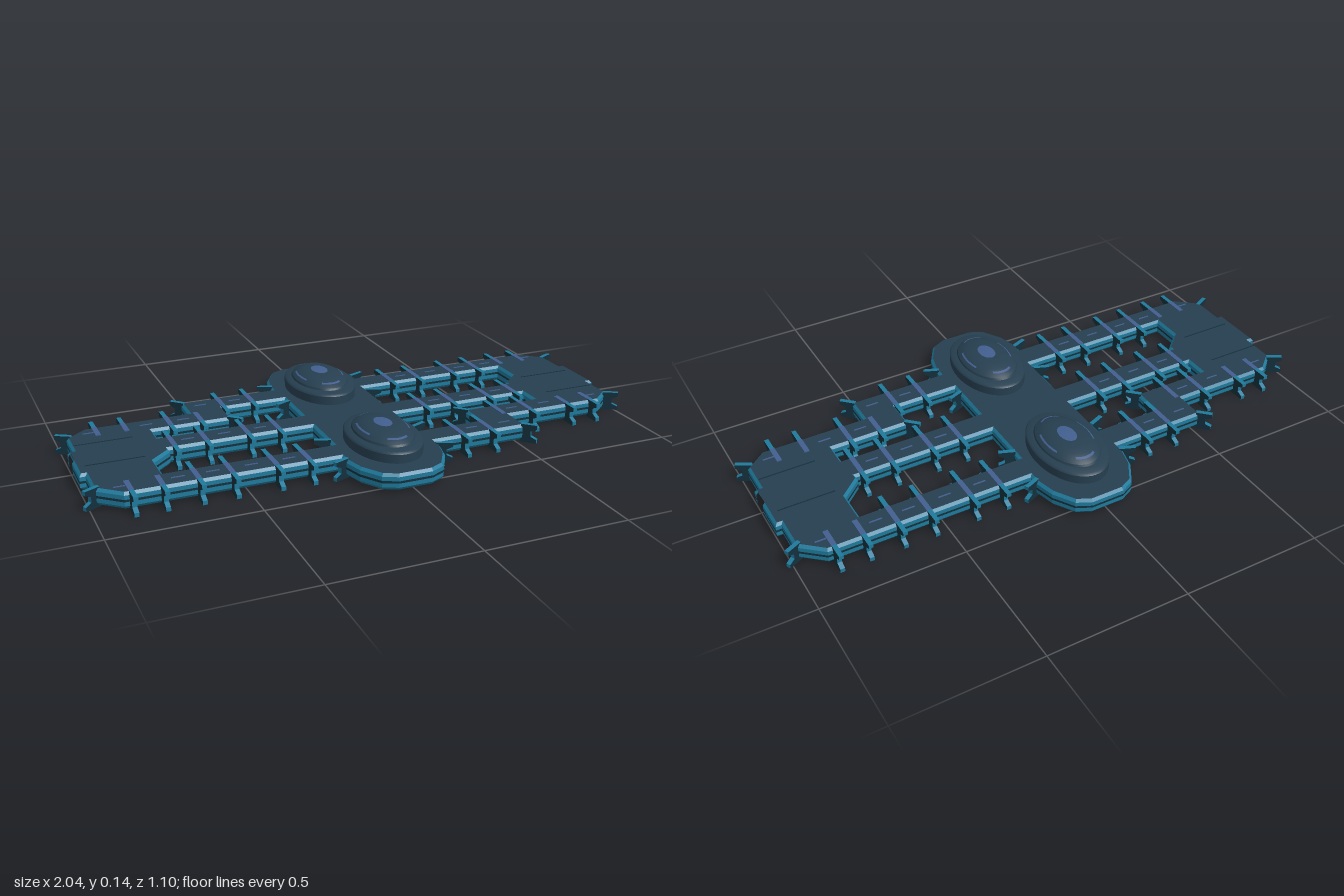
import * as THREE from 'three';

const mat = (name, color, extra = {}) => {
  const m = new THREE.MeshStandardMaterial({ color, ...extra });
  m.name = name;
  return m;
};

export function createModel() {
  const deckMat = mat('slate deck', 0x263f50);
  const hullMat = mat('teal hull', 0x1f7a9c);
  const darkMat = mat('dark recess', 0x14303d);
  const glassMat = mat('blue glass', 0x435f90);
  const domeMat = mat('slate dome', 0x263f50);

  const root = new THREE.Group();
  root.name = 'station';
  const add = (parent, name, geo, material, x = 0, y = 0, z = 0) => {
    const m = new THREE.Mesh(geo, material);
    m.name = name;
    m.position.set(x, y, z);
    parent.add(m);
    return m;
  };
  const turned = (pts) => pts.map(([x, z]) => [-x, -z]);

  // Footprint as [x, z]; the second half is the first turned half way round
  const half = [
    [0.06, -0.55], [0.11, -0.525], [0.155, -0.45], [0.172, -0.38], [0.172, -0.34],
    [0.9, -0.34], [0.98, -0.27], [0.98, -0.15], [1, -0.15], [1, -0.03], [1, 0.03], [1, 0.05],
    [0.98, 0.05], [0.98, 0.17], [0.91, 0.23], [0.53, 0.23], [0.53, 0.34], [0.172, 0.34],
    [0.172, 0.38], [0.155, 0.45], [0.11, 0.525], [0.06, 0.55],
  ];
  const outline = [...half, ...turned(half)];
  const wells = [
    [[0.16, -0.24], [0.75, -0.24], [0.75, -0.13], [0.68, -0.065], [0.68, -0.05], [0.16, -0.05]],
    [[0.16, 0.05], [0.69, 0.05], [0.69, 0.13], [0.4, 0.13], [0.4, 0.24], [0.16, 0.24]],
  ].map((p) => p.reverse());
  const holes = [...wells, ...wells.map(turned)];

  // Moves every edge of a closed loop inwards by d, with mitred corners
  const inset = (pts, d) => pts.map((p, i) => {
    const a = pts[(i + pts.length - 1) % pts.length], b = pts[(i + 1) % pts.length];
    const n1 = new THREE.Vector2(p[1] - a[1], a[0] - p[0]).normalize();
    const n2 = new THREE.Vector2(b[1] - p[1], p[0] - b[0]).normalize();
    const s = d / (1 + n1.dot(n2));
    return [p[0] - (n1.x + n2.x) * s, p[1] - (n1.y + n2.y) * s];
  });

  // Flat plates for the top and the underside
  const plate = (d, up) => {
    const toV = (pts) => inset(pts, d).map(([x, z]) => new THREE.Vector2(x, up ? -z : z));
    const shape = new THREE.Shape(toV(outline));
    shape.holes = holes.map((h) => new THREE.Path(toV(h)));
    return new THREE.ShapeGeometry(shape).rotateX(up ? -Math.PI / 2 : Math.PI / 2);
  };
  add(root, 'deck', plate(0.008, true), deckMat, 0, 0.065, 0);
  add(root, 'underside', plate(0.008, false), hullMat, 0, 0.008, 0);

  // Bevelled walls around every loop, open at the two corridor mouths
  const walls = (pts, sections) => {
    const pos = [];
    for (let s = 0; s + 1 < sections.length; s++) {
      const lo = inset(pts, sections[s][1]), hi = inset(pts, sections[s + 1][1]);
      const y0 = sections[s][0], y1 = sections[s + 1][0];
      pts.forEach((p, i) => {
        const j = (i + 1) % pts.length;
        const mouth = Math.abs(p[0]) === 1 && pts[j][0] === p[0] && Math.abs(p[1]) === 0.03 && pts[j][1] === -p[1];
        if (mouth) return;
        const A = [lo[i][0], y0, lo[i][1]], B = [lo[j][0], y0, lo[j][1]];
        const C = [hi[j][0], y1, hi[j][1]], D = [hi[i][0], y1, hi[i][1]];
        pos.push(...A, ...D, ...C, ...A, ...C, ...B);
      });
    }
    const g = new THREE.BufferGeometry();
    g.setAttribute('position', new THREE.Float32BufferAttribute(pos, 3));
    g.computeVertexNormals();
    return g;
  };
  [outline, ...holes].forEach((loop) => {
    add(root, 'hullWall', walls(loop, [[0.008, 0.008], [0.018, 0], [0.055, 0], [0.065, 0.008]]), hullMat);
    add(root, 'wallGroove', walls(loop, [[0.033, -0.001], [0.041, -0.001]]), darkMat);
  });

  // Forked bracket that clips over a wall
  const fork = new THREE.Shape([
    [-0.008, 0], [0.05, 0], [0.05, 0.014], [0.028, 0.024], [0.028, 0.044],
    [0.05, 0.054], [0.05, 0.068], [-0.008, 0.068],
  ].map(([x, y]) => new THREE.Vector2(x, y)));
  const forkGeo = new THREE.ExtrudeGeometry(fork, { depth: 0.016, bevelEnabled: false }).translate(0, 0, -0.008);

  const buildWing = () => {
    const wing = new THREE.Group();
    wing.name = 'wing';
    // dx, dz is the direction the prongs point
    const bracket = (x, z, dx, dz) => {
      add(wing, 'bracket', forkGeo, [darkMat, hullMat], x, 0, z).rotation.y = Math.atan2(-dz, dx);
    };
    const band = (x, z0, z1) => add(wing, 'deckBand',
      new THREE.BoxGeometry(0.018, 0.006, z1 - z0), glassMat, x, 0.066, (z0 + z1) / 2);
    const rib = (x, z0, z1, back = true, front = true) => {
      band(x, z0 + 0.008, z1 - 0.008);
      if (back) bracket(x, z0, 0, -1);
      if (front) bracket(x, z1, 0, 1);
    };

    [0.283, 0.395, 0.545, 0.657].forEach((x) => {
      rib(x, -0.34, -0.24);
      rib(x, -0.05, 0.05);
    });
    [0.283, 0.395].forEach((x) => rib(x, 0.24, 0.34));
    [0.51, 0.62].forEach((x) => rib(x, 0.13, 0.23, true, x > 0.53));
    [0.775, 0.875].forEach((x) => {
      rib(x, -0.34, -0.25, true, false);
      rib(x, 0.14, 0.23, false, true);
    });
    // Corner and hub brackets
    [[0.97, -0.265, 1, -0.5], [0.97, 0.18, 1, 0.6], [0.525, 0.335, 1, 1], [0.405, 0.135, -1, -1],
      [0.17, -0.37, 1, -0.4], [0.17, 0.37, 1, 0.4], [0.162, -0.2, 1, 0.4], [0.162, 0.2, 1, -0.4]]
      .forEach((b) => bracket(...b));

    // Small marker lights along the corridors
    [[0.34, -0.29], [0.47, -0.29], [0.6, -0.29], [0.715, -0.29], [0.9, -0.29], [0.34, 0], [0.47, 0], [0.6, 0],
      [0.34, 0.29], [0.47, 0.29], [0.565, 0.18], [0.7, 0.18], [0.9, 0.18]].forEach(([x, z]) => {
      add(wing, 'markerLight', new THREE.BoxGeometry(0.045, 0.003, 0.005), glassMat, x, 0.0655, z);
    });
    // Seams across the end platform
    [-0.09, 0.09].forEach((z) => add(wing, 'deckSeam',
      new THREE.BoxGeometry(0.2, 0.002, 0.004), darkMat, 0.87, 0.0655, z));
    return wing;
  };

  // Oval dome, turned as a round one and narrowed across x
  const buildDome = () => {
    const dome = new THREE.Group();
    dome.name = 'dome';
    const lathe = (name, pts, m, start = 0, length = Math.PI * 2) => add(dome, name,
      new THREE.LatheGeometry(pts.map(([r, y]) => new THREE.Vector2(r, y)), length > 6 ? 48 : 10, start, length), m);
    lathe('domeBase', [[0.19, 0.06], [0.19, 0.096]], domeMat);
    lathe('domeShoulder', [[0.19, 0.096], [0.183, 0.104], [0.152, 0.107]], domeMat);
    lathe('domeCollar', [[0.152, 0.107], [0.148, 0.114]], domeMat);
    lathe('domeCap', [[0.148, 0.114], [0.132, 0.123], [0.11, 0.131], [0.08, 0.137], [0.045, 0.14], [0, 0.141]], domeMat);
    lathe('domeSkylight', [[0.045, 0.1405], [0.02, 0.142], [0, 0.1425]], glassMat);
    for (let i = 0; i < 4; i++) {
      lathe('domeWindow', [[0.131, 0.1245], [0.122, 0.128]], glassMat, i * Math.PI / 2 - 0.45, 0.9);
    }
    dome.scale.x = 0.64;
    return dome;
  };

  [0, Math.PI].forEach((turn) => {
    const side = new THREE.Group();
    side.name = turn ? 'rightHalf' : 'leftHalf';
    const dome = buildDome();
    dome.position.z = 0.288;
    side.add(buildWing(), dome);
    side.rotation.y = turn;
    root.add(side);
  });
  return root;
}
